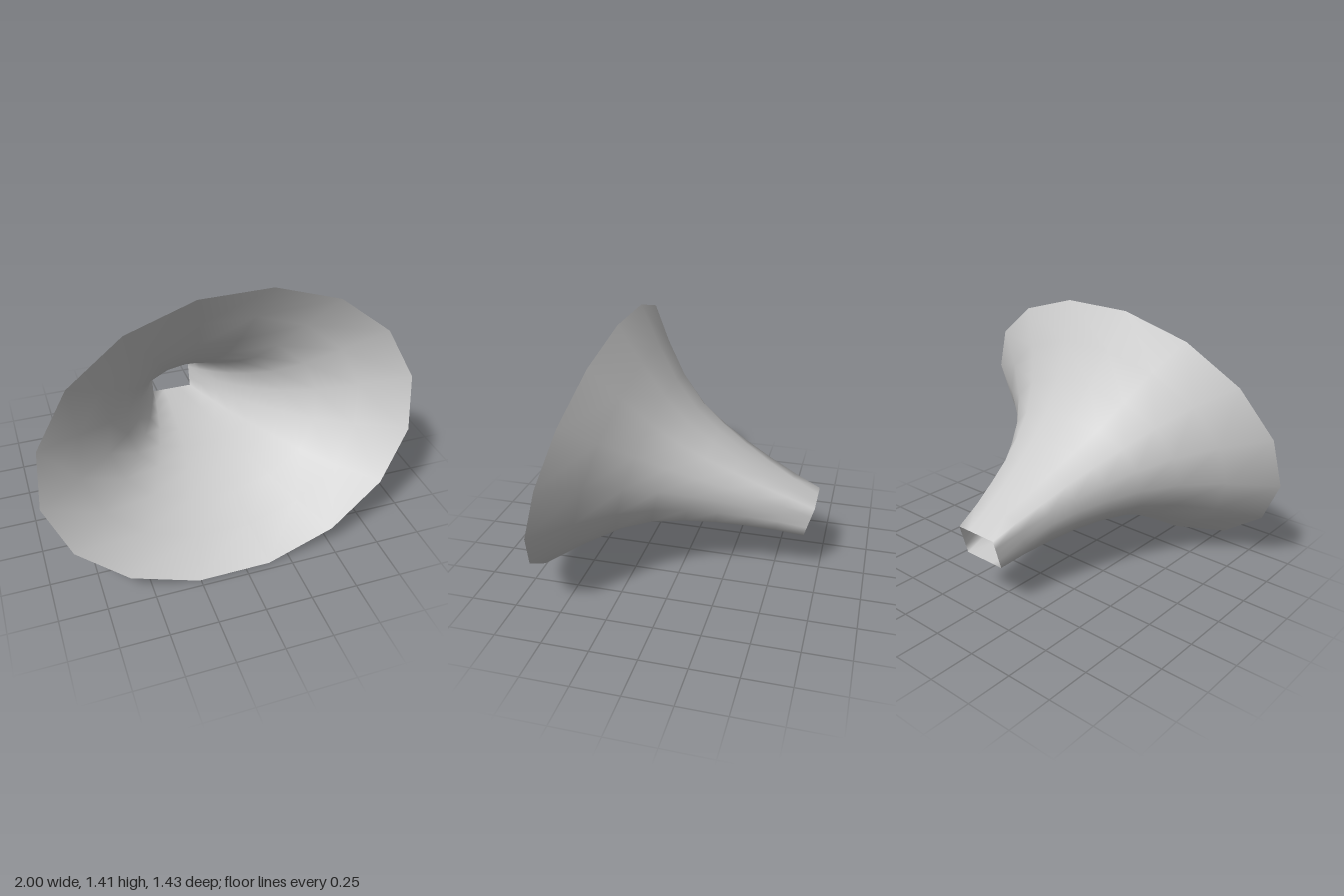
import * as THREE from 'three';

const SIDES = 16;
const rad = THREE.MathUtils.degToRad;

// Half widths and half heights of the sections, evenly spaced from mouth to throat
const halfWidth = [1.007, 0.775, 0.59, 0.455, 0.355, 0.275, 0.215, 0.16, 0.122];
const halfHeight = [0.749, 0.582, 0.432, 0.32, 0.25, 0.196, 0.151, 0.117, 0.0886];

// Straight axis, tilted so the mouth looks upward
const mouthCentre = new THREE.Vector3(0, 0.7125, 0.507);
const throatCentre = new THREE.Vector3(0, 0.36, -0.69);
const up = new THREE.Vector3(0, 0.96, -0.281);

// Flare that changes from a slightly turned ellipse to a rectangle
function flareGeometry() {
  const rows = halfWidth.length - 1;
  const positions = [];
  const index = [];
  const p = new THREE.Vector3();
  for (let s = 0; s <= rows; s++) {
    const f = s / rows;
    const square = f * f;
    for (let k = 0; k < SIDES; k++) {
      const t = (k / SIDES) * Math.PI * 2;
      const sx = Math.sin(t - rad(7.5) * (1 - f));
      const cy = Math.cos(t - rad(11.85) * (1 - f));
      const toSquare = 1 / Math.max(Math.abs(sx), Math.abs(cy));
      const scale = THREE.MathUtils.lerp(1, toSquare, square);
      p.lerpVectors(mouthCentre, throatCentre, f).addScaledVector(up, halfHeight[s] * cy * scale);
      p.x += halfWidth[s] * sx * scale;
      positions.push(p.x, p.y, p.z);
      if (s < rows) {
        const a = s * SIDES + k;
        const b = s * SIDES + ((k + 1) % SIDES);
        index.push(a, b, a + SIDES, b, b + SIDES, a + SIDES);
      }
    }
  }
  const geometry = new THREE.BufferGeometry();
  geometry.setAttribute('position', new THREE.Float32BufferAttribute(positions, 3));
  geometry.setIndex(index);
  geometry.computeVertexNormals();
  return geometry;
}

export function createModel() {
  const group = new THREE.Group();
  group.name = 'horn';
  const material = new THREE.MeshStandardMaterial({ color: 0xcccccc, side: THREE.DoubleSide });
  const flare = new THREE.Mesh(flareGeometry(), material);
  flare.name = 'hornFlare';
  group.add(flare);
  return group;
}
